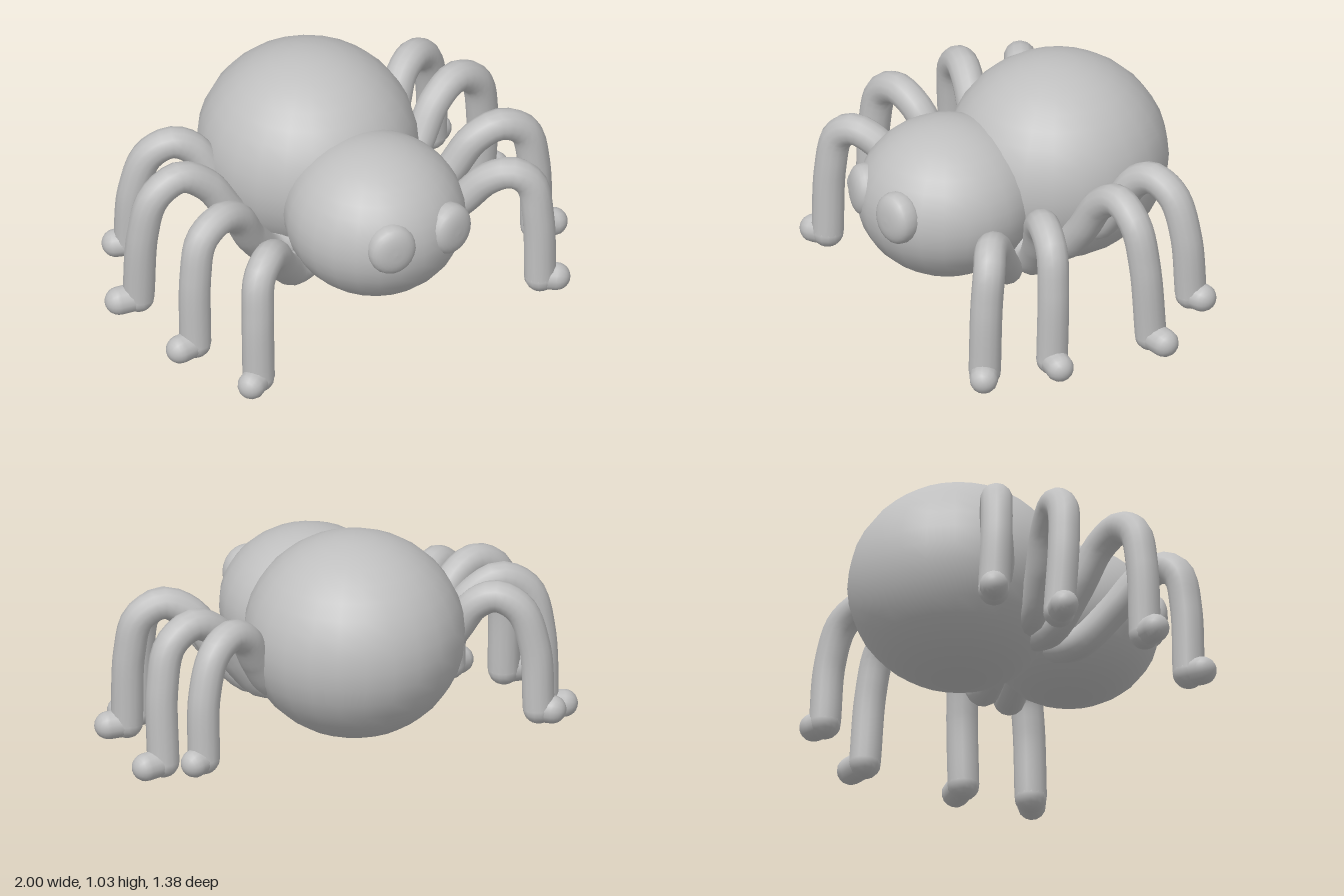
import * as THREE from 'three';

const grey = new THREE.MeshStandardMaterial({ color: 0xbfbfbf });
grey.name = 'plain grey';

const LEG_RADIUS = 0.068;
const FOOT_RADIUS = 0.06;

// Centre lines of the legs on the +x side, from inside the body to the ankle, then the toe.
// "shift" is the small x/z offset of the opposite leg.
const LEGS = [
  { name: 'frontLeg', toe: [0.757, 0.06, 0.525], shift: [-0.005, 0],
    path: [[0.12, 0.34, 0.13], [0.31, 0.295, 0.18], [0.44, 0.41, 0.27], [0.53, 0.535, 0.35], [0.61, 0.572, 0.415], [0.675, 0.52, 0.455], [0.697, 0.36, 0.48], [0.7, 0.065, 0.49]] },
  { name: 'frontMiddleLeg', toe: [0.92, 0.125, 0.252], shift: [0, -0.035],
    path: [[0.1, 0.38, 0.05], [0.33, 0.32, 0.075], [0.48, 0.46, 0.12], [0.58, 0.615, 0.165], [0.69, 0.667, 0.2], [0.795, 0.61, 0.222], [0.833, 0.45, 0.235], [0.84, 0.13, 0.245]] },
  { name: 'backMiddleLeg', toe: [0.94, 0.13, -0.235], shift: [0, 0.01],
    path: [[0.15, 0.4, -0.06], [0.34, 0.36, -0.07], [0.46, 0.475, -0.095], [0.57, 0.64, -0.125], [0.69, 0.708, -0.15], [0.805, 0.64, -0.17], [0.85, 0.46, -0.19], [0.855, 0.135, -0.215]] },
  { name: 'backLeg', toe: [0.815, 0.225, -0.48], shift: [0.025, 0],
    path: [[0.24, 0.4, -0.16], [0.37, 0.43, -0.22], [0.46, 0.56, -0.27], [0.53, 0.685, -0.32], [0.61, 0.724, -0.36], [0.7, 0.67, -0.405], [0.755, 0.5, -0.435], [0.765, 0.23, -0.453]] },
];

function part(name, geometry, parent) {
  const mesh = new THREE.Mesh(geometry, grey);
  mesh.name = name;
  parent.add(mesh);
  return mesh;
}

function ellipsoid(name, parent, center, radii) {
  const mesh = part(name, new THREE.SphereGeometry(1, 24, 18), parent);
  mesh.position.set(...center);
  mesh.scale.set(...radii);
}

// Round button with a flattened face and a full, soft rim, facing +z
function makeEye(name, parent, x, turn) {
  const profile = [];
  for (let i = 0; i <= 14; i++) {
    const a = -Math.PI / 2 + (Math.PI * i) / 14;
    const s = Math.sin(a);
    profile.push(new THREE.Vector2(
      Math.pow(Math.max(Math.cos(a), 0), 0.8),
      Math.sign(s) * Math.pow(Math.abs(s), 0.75)));
  }
  const geometry = new THREE.LatheGeometry(profile, 20);
  geometry.rotateX(Math.PI / 2);
  const eye = part(name, geometry, parent);
  eye.position.set(x, 0.57, 0.617);
  eye.scale.set(0.105, 0.114, 0.066);
  eye.rotation.y = turn;
}

// Arched tube with a short round-ended foot pointing outwards
function makeLeg({ name, path, toe, shift }, side) {
  const leg = new THREE.Group();
  leg.name = (side > 0 ? 'left ' : 'right ') + name;
  const place = ([x, y, z]) => new THREE.Vector3(side * x, y, z);
  const curve = new THREE.CatmullRomCurve3(path.map(place));
  part('legTube', new THREE.TubeGeometry(curve, 36, LEG_RADIUS, 14), leg);

  const ankle = place(path[path.length - 1]);
  const tip = place(toe);
  const along = tip.clone().sub(ankle);
  const foot = part('foot', new THREE.CapsuleGeometry(FOOT_RADIUS, along.length(), 6, 14), leg);
  foot.position.copy(ankle).add(tip).multiplyScalar(0.5);
  foot.quaternion.setFromUnitVectors(new THREE.Vector3(0, 1, 0), along.normalize());

  // Ankle ball closes the lower end of the tube
  const ball = part('ankle', new THREE.SphereGeometry(LEG_RADIUS, 14, 10), leg);
  ball.position.copy(ankle);

  if (side < 0) leg.position.set(shift[0], 0, shift[1]);
  return leg;
}

export function createModel() {
  const spider = new THREE.Group();
  spider.name = 'spider';

  // Body
  ellipsoid('abdomen', spider, [0, 0.593, -0.225], [0.466, 0.438, 0.469]);
  ellipsoid('head', spider, [0, 0.525, 0.295], [0.381, 0.336, 0.385]);

  // Eyes, set slightly off centre and turned outwards
  makeEye('leftEye', spider, 0.16, 0.2);
  makeEye('rightEye', spider, -0.125, -0.2);

  // Four legs on each side
  for (const spec of LEGS) {
    for (const side of [1, -1]) spider.add(makeLeg(spec, side));
  }
  return spider;
}
